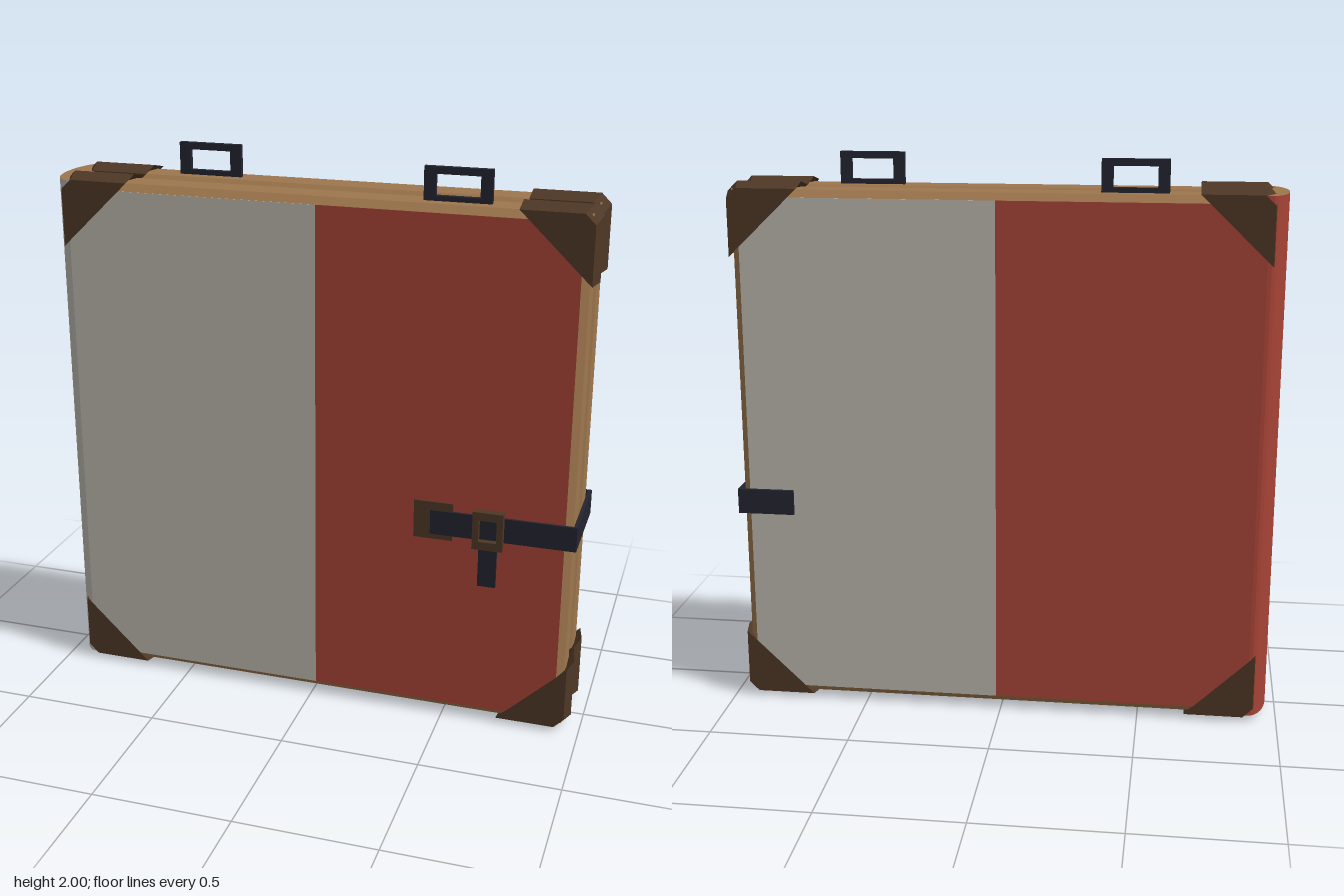
import * as THREE from 'three';

const mat = (name, color) => {
  const m = new THREE.MeshStandardMaterial({ color });
  m.name = name;
  return m;
};

// Solid through a list of convex sections [z, [[x, y], ...]], corners anticlockwise, z rising
function loft(sections) {
  const pos = [];
  const put = (s, i) => pos.push(s[1][i][0], s[1][i][1], s[0]);
  const n = sections[0][1].length;
  for (let k = 0; k < sections.length - 1; k++) {
    const a = sections[k], b = sections[k + 1];
    for (let i = 0; i < n; i++) {
      const j = (i + 1) % n;
      put(a, i); put(a, j); put(b, j);
      put(a, i); put(b, j); put(b, i);
    }
  }
  const first = sections[0], last = sections[sections.length - 1];
  for (let i = 1; i < n - 1; i++) {
    put(last, 0); put(last, i); put(last, i + 1);
    put(first, 0); put(first, i + 1); put(first, i);
  }
  const g = new THREE.BufferGeometry();
  g.setAttribute('position', new THREE.Float32BufferAttribute(pos, 3));
  g.computeVertexNormals();
  return g;
}

// Rectangular frame with a rectangular hole, centred on the origin
function frame(w, h, bx, by, depth) {
  const rect = (P, a, b) => new P([[-a, -b], [a, -b], [a, b], [-a, b]].map(p => new THREE.Vector2(...p)));
  const s = rect(THREE.Shape, w / 2, h / 2);
  s.holes.push(rect(THREE.Path, w / 2 - bx, h / 2 - by));
  return new THREE.ExtrudeGeometry(s, { depth, bevelEnabled: false }).translate(0, 0, -depth / 2);
}

export function createModel() {
  const wood = mat('wood', 0x9e774e);
  const grey = mat('light grey', 0xbab6ad);
  const red = mat('red', 0xa74336);
  const brown = mat('dark brown leather', 0x4e3726);
  const dark = mat('dark strap', 0x23242f);

  const model = new THREE.Group();
  model.name = 'foldedCase';
  const add = (parent, name, geo, material, x = 0, y = 0, z = 0) => {
    const m = new THREE.Mesh(geo, material);
    m.name = name;
    m.position.set(x, y, z);
    parent.add(m);
    return m;
  };
  // Box given by its limits
  const box = (parent, name, material, x0, x1, y0, y1, z0, z1) =>
    add(parent, name, new THREE.BoxGeometry(x1 - x0, y1 - y0, z1 - z0), material,
      (x0 + x1) / 2, (y0 + y1) / 2, (z0 + z1) / 2);

  // Chamfered wooden leaf
  const rect = (z, a, b) => [z, [[-a, -b], [a, -b], [a, b], [-a, b]]];
  const leafGeo = loft([
    rect(-0.0725, 0.895, 0.905), rect(-0.05, 0.92, 0.93),
    rect(0.05, 0.92, 0.93), rect(0.0725, 0.895, 0.905)]);

  // Corner guard, ridged halfway through its thickness
  const guardGeo = (sx, sy) => {
    const section = (z, a, b) => {
      const p = [[a, 0.698], [a, b - 0.035], [a - 0.035, b], [0.685, b]]
        .map(([x, y]) => [x * sx, y * sy]);
      return [z, sx * sy > 0 ? p : p.reverse()];
    };
    return loft([section(-0.0765, 0.931, 0.935), section(0, 0.947, 0.953), section(0.0765, 0.931, 0.935)]);
  };

  // The two leaves with their cover panels, linings and guards
  for (const [name, z, left, right] of [['frontLeaf', 0.0725, grey, red], ['backLeaf', -0.1045, red, grey]]) {
    const leaf = new THREE.Group();
    leaf.name = name;
    leaf.position.set(0.016, 0.957, z);
    model.add(leaf);
    add(leaf, 'woodenBody', leafGeo, wood);
    const out = name === 'frontLeaf' ? 1 : -1;
    for (const [side, part] of [[1, 'cover'], [-1, 'lining']]) {
      const half = new THREE.BoxGeometry(0.895, 1.81, 0.002);
      const pz = 0.0735 * out * side;
      add(leaf, part + 'MinusX', half, side > 0 ? left : grey, -0.4475, 0, pz);
      add(leaf, part + 'PlusX', half, side > 0 ? right : red, 0.4475, 0, pz);
    }
    for (const sx of [-1, 1]) for (const sy of [-1, 1])
      add(leaf, 'cornerGuard', guardGeo(sx, sy), brown);
  }

  // Rounded spine in two coloured halves with wooden ends
  const zc = -0.016, hz = 0.162;
  for (const [name, s, color] of [['spineFront', 1, grey], ['spineBack', -1, red]]) {
    const shape = new THREE.Shape();
    shape.moveTo(-0.872, -zc);
    shape.lineTo(-0.872, -(zc + s * hz));
    for (let i = 0; i <= 8; i++) {
      const t = (i / 8) * Math.PI / 2;
      shape.lineTo(-0.895 - 0.07 * Math.sin(t), -(zc + s * hz * Math.cos(t)));
    }
    shape.closePath();
    const g = new THREE.ExtrudeGeometry(shape, { depth: 1.862, bevelEnabled: false });
    g.rotateX(-Math.PI / 2);
    add(model, name, g, [wood, color], 0, 0.028, 0);
  }
  box(model, 'spineInnerFace', wood, -0.874, -0.868, 0.03, 1.888, -0.03, -0.002);

  // Carrying handles
  for (const [x, z] of [[0.485, 0.07], [-0.45, -0.105]])
    add(model, 'handle', frame(0.23, 0.12, 0.04, 0.024, 0.02), dark, x, 1.94, z);

  // Strap wrapped around the open edge
  const strap = new THREE.Group();
  strap.name = 'strap';
  model.add(strap);
  box(strap, 'strapFront', dark, 0.44, 0.953, 0.725, 0.815, 0.148, 0.158);
  box(strap, 'strapSide', dark, 0.94, 0.953, 0.725, 0.815, -0.192, 0.158);
  box(strap, 'strapBack', dark, 0.75, 0.953, 0.725, 0.815, -0.192, -0.179);
  box(strap, 'strapTail', dark, 0.618, 0.682, 0.555, 0.81, 0.16, 0.172);
  box(strap, 'strapPatch', brown, 0.38, 0.52, 0.705, 0.845, 0.143, 0.153);
  box(strap, 'buckleBase', brown, 0.62, 0.68, 0.73, 0.82, 0.15, 0.166);
  add(strap, 'buckle', frame(0.107, 0.14, 0.022, 0.03, 0.028), brown, 0.651, 0.775, 0.181);

  return model;
}
